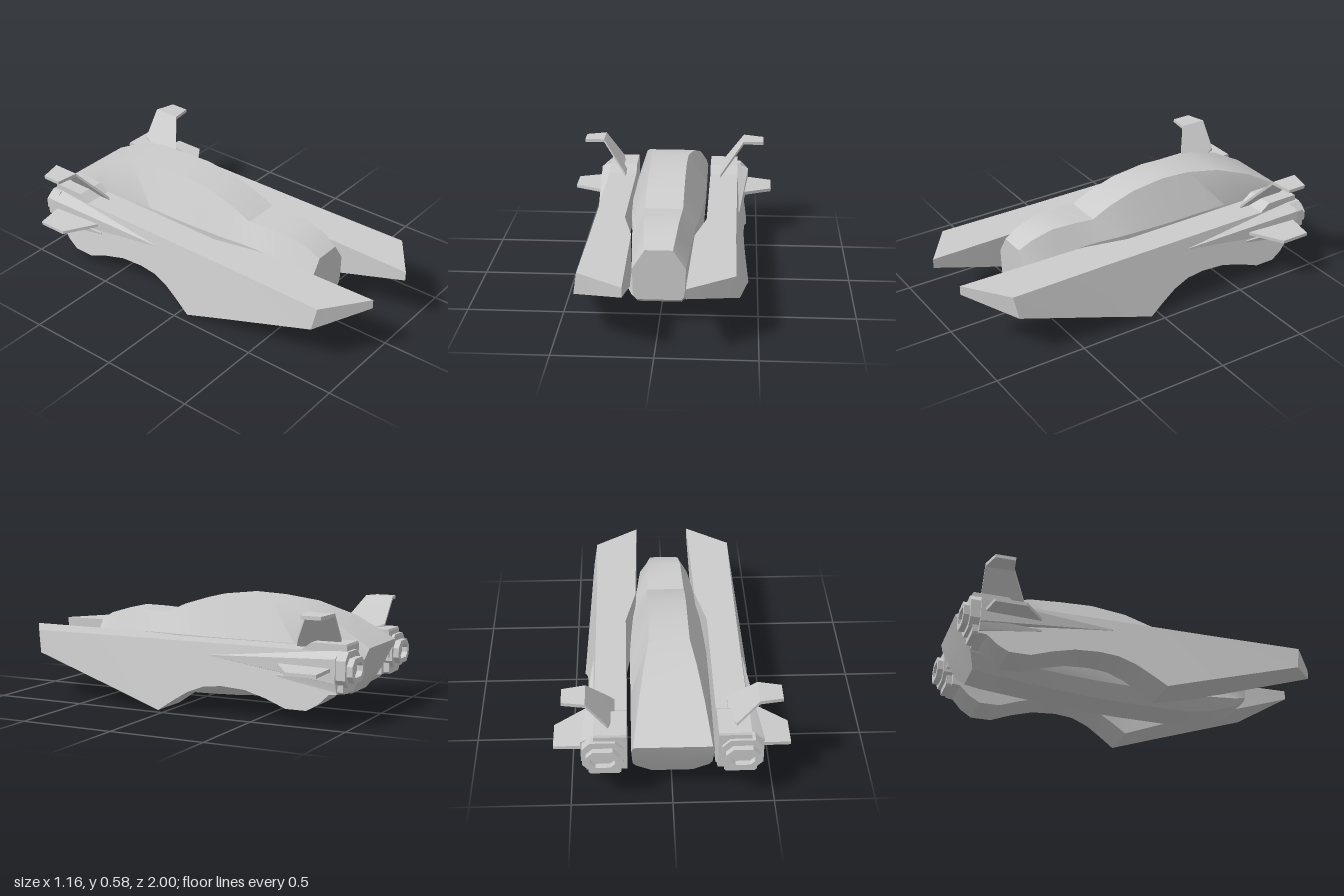
import * as THREE from 'three';
import { toCreasedNormals } from 'three/addons/utils/BufferGeometryUtils.js';

const material = new THREE.MeshStandardMaterial({ color: 0xcccccc });

function addMesh(parent, name, geometry) {
  const mesh = new THREE.Mesh(geometry, material);
  mesh.name = name;
  parent.add(mesh);
}

// Skin between closed rings that run front to back, each counter-clockwise seen from +z
function loft(rings) {
  const pos = [];
  const tri = (a, b, c) => pos.push(...a, ...b, ...c);
  const n = rings[0].length;
  for (let r = 0; r < rings.length - 1; r++) {
    for (let i = 0; i < n; i++) {
      const j = (i + 1) % n;
      const a = rings[r][i], b = rings[r][j], c = rings[r + 1][j], d = rings[r + 1][i];
      tri(a, d, b);
      tri(b, d, c);
    }
  }
  const cap = (ring, front) => {
    const mid = [0, 1, 2].map(k => ring.reduce((sum, p) => sum + p[k], 0) / n);
    ring.forEach((p, i) => {
      const q = ring[(i + 1) % n];
      front ? tri(mid, p, q) : tri(mid, q, p);
    });
  };
  cap(rings[0], true);
  cap(rings[rings.length - 1], false);
  const geometry = new THREE.BufferGeometry();
  geometry.setAttribute('position', new THREE.Float32BufferAttribute(pos, 3));
  geometry.computeVertexNormals();
  return toCreasedNormals(geometry, 0.42);
}

// Left-hand rings, or their reflection for the right side
const sided = (rings, s) => s > 0 ? rings
  : rings.map(ring => ring.map(([x, y, z]) => [-x, y, z]).reverse());

// Rectangle with cut corners, counter-clockwise
function cutRect(cx, cy, w, h, c) {
  const a = w / 2, b = h / 2;
  return [[a, -b + c], [a, b - c], [a - c, b], [-a + c, b],
    [-a, b - c], [-a, -b + c], [-a + c, -b], [a - c, -b]].map(([x, y]) => [cx + x, cy + y]);
}
const atZ = (points, z) => points.map(([x, y]) => [x, y, z]);

function hull() {
  // z, top half-width and height, shoulder width and height, bulge width and height, floor width and height
  const stations = [
    [0.62, 0.07, 0.40, 0.135, 0.30, 0.125, 0.15, 0.11, 0.135],
    [0.55, 0.08, 0.44, 0.14, 0.32, 0.145, 0.13, 0.11, 0.095],
    [0.43, 0.09, 0.475, 0.15, 0.34, 0.17, 0.11, 0.11, 0.055],
    [0.30, 0.095, 0.472, 0.16, 0.36, 0.18, 0.10, 0.105, 0.035],
    [0.19, 0.10, 0.465, 0.165, 0.36, 0.18, 0.10, 0.10, 0.035],
    [0.08, 0.10, 0.515, 0.18, 0.36, 0.18, 0.10, 0.10, 0.036],
    [-0.06, 0.10, 0.558, 0.19, 0.36, 0.18, 0.10, 0.10, 0.038],
    [-0.25, 0.10, 0.58, 0.20, 0.36, 0.18, 0.105, 0.10, 0.045],
    [-0.42, 0.103, 0.572, 0.20, 0.36, 0.18, 0.115, 0.10, 0.058],
    [-0.60, 0.13, 0.545, 0.20, 0.36, 0.18, 0.13, 0.10, 0.075],
    [-0.80, 0.16, 0.475, 0.20, 0.35, 0.18, 0.15, 0.10, 0.095],
  ];
  const rings = stations.map(([z, tx, ty, sx, sy, bx, by, fx, fy]) => {
    const side = [[fx, fy, z], [bx, by, z], [sx - 0.005, 0.18, z], [sx, sy, z], [tx, ty, z]];
    return [...side, ...side.map(([x, y]) => [-x, y, z]).reverse()];
  });
  // Raked tail
  const tail = [[0.10, 0.11, -0.88], [0.18, 0.17, -0.91], [0.195, 0.2, -0.925],
    [0.20, 0.33, -0.99], [0.19, 0.36, -1]];
  rings.push([...tail, ...tail.map(([x, y, z]) => [-x, y, z]).reverse()]);
  return loft(rings);
}

function pod(s) {
  // z, inner x, underside height
  const stations = [
    [0.30, 0.165, 0.08], [0.05, 0.22, 0], [-0.03, 0.22, 0.055], [-0.11, 0.22, 0.105],
    [-0.20, 0.22, 0.14], [-0.30, 0.22, 0.15], [-0.43, 0.22, 0.142], [-0.55, 0.22, 0.11],
    [-0.66, 0.22, 0.07], [-0.77, 0.22, 0.07], [-0.83, 0.22, 0.105], [-0.88, 0.22, 0.155],
    [-0.92, 0.22, 0.16],
  ];
  const nose = [[0.15, 0.36, 1], [0.15, 0.31, 1], [0.404, 0.24, 0.81], [0.385, 0.36, 0.83]];
  return loft(sided([nose, ...stations.map(([z, x, y]) =>
    [[x, 0.36, z], [x, y, z], [0.38 + 0.2 * (0.36 - y), y, z], [0.38, 0.36, z]])], s));
}

// Thin fin from spanwise sections: x, y, front z, rear z
function fin(sections, s, t = 0.018) {
  const rings = sections.map(([x, y, f, b]) =>
    [[x, y, f], [x, y, b], [x, y + t, b], [x, y + t, f]]);
  // Sections run outward along x, so the left side takes the reversed order
  return loft(sided(rings.map(ring => ring.reverse()), s));
}

function engine(s) {
  const group = new THREE.Group();
  group.name = 'engine';

  // Raised block with a sloping front
  const block = (z, top, low = 0.25) => [[0.22, low, z], [0.38, low, z], [0.38, top, z], [0.22, top, z]];
  addMesh(group, 'engineBlock', loft(sided(
    [block(-0.71, 0.355), block(-0.77, 0.40), block(-0.95, 0.40), block(-0.955, 0.39)], s)));
  addMesh(group, 'lowerBlock', loft(sided(
    [-0.85, -0.95].map(z => atZ(cutRect(0.33, 0.21, 0.16, 0.1, 0.01), z)), s)));

  // Long pointed fairing on the outer flank
  const spike = [[0.385, 0.295, -0.22], [0.394, 0.295, -0.22], [0.394, 0.30, -0.22], [0.385, 0.303, -0.22]];
  const root = [[0.36, 0.19, -0.92], [0.445, 0.215, -0.92], [0.445, 0.335, -0.92], [0.36, 0.38, -0.92]];
  addMesh(group, 'flankFairing', loft(sided([spike, root], s)));
  const chinTip = [[0.39, 0.225, -0.6], [0.41, 0.22, -0.6], [0.41, 0.23, -0.6], [0.39, 0.235, -0.6]];
  const chin = [[0.38, 0.165, -0.92], [0.425, 0.17, -0.92], [0.44, 0.23, -0.92], [0.38, 0.24, -0.92]];
  addMesh(group, 'lowerFairing', loft(sided([chinTip, chin], s)));

  // Housing and hollow nozzle
  addMesh(group, 'engineHousing', loft(sided(
    [-0.91, -0.97].map(z => atZ(cutRect(0.337, 0.28, 0.2, 0.175, 0.04), z)), s)));
  const toPath = points => points.map(([x, y]) => new THREE.Vector2(x, y));
  const ring = new THREE.Shape(toPath(cutRect(s * 0.337, 0.275, 0.165, 0.12, 0.035)));
  ring.holes.push(new THREE.Path(toPath(cutRect(s * 0.337, 0.275, 0.115, 0.07, 0.022))));
  const nozzle = new THREE.ExtrudeGeometry(ring, { depth: 0.04, bevelEnabled: false });
  nozzle.translate(0, 0, -1);
  addMesh(group, 'nozzle', nozzle);
  return group;
}

export function createModel() {
  const model = new THREE.Group();
  model.name = 'hovercraft';
  addMesh(model, 'hull', hull());
  for (const [label, s] of [['left', 1], ['right', -1]]) {
    const side = new THREE.Group();
    side.name = label + 'Side';
    addMesh(side, 'pod', pod(s));
    side.add(engine(s));
    // Bent upper fin and flat lower wing
    addMesh(side, 'upperFin', fin(
      [[0.28, 0.36, -0.65, -0.80], [0.31, 0.40, -0.67, -0.90], [0.415, 0.535, -0.755, -0.905], [0.53, 0.53, -0.775, -0.88]], s));
    addMesh(side, 'lowerWing', fin(
      [[0.40, 0.275, -0.59, -0.90], [0.58, 0.26, -0.72, -0.88]], s));
    model.add(side);
  }
  return model;
}
